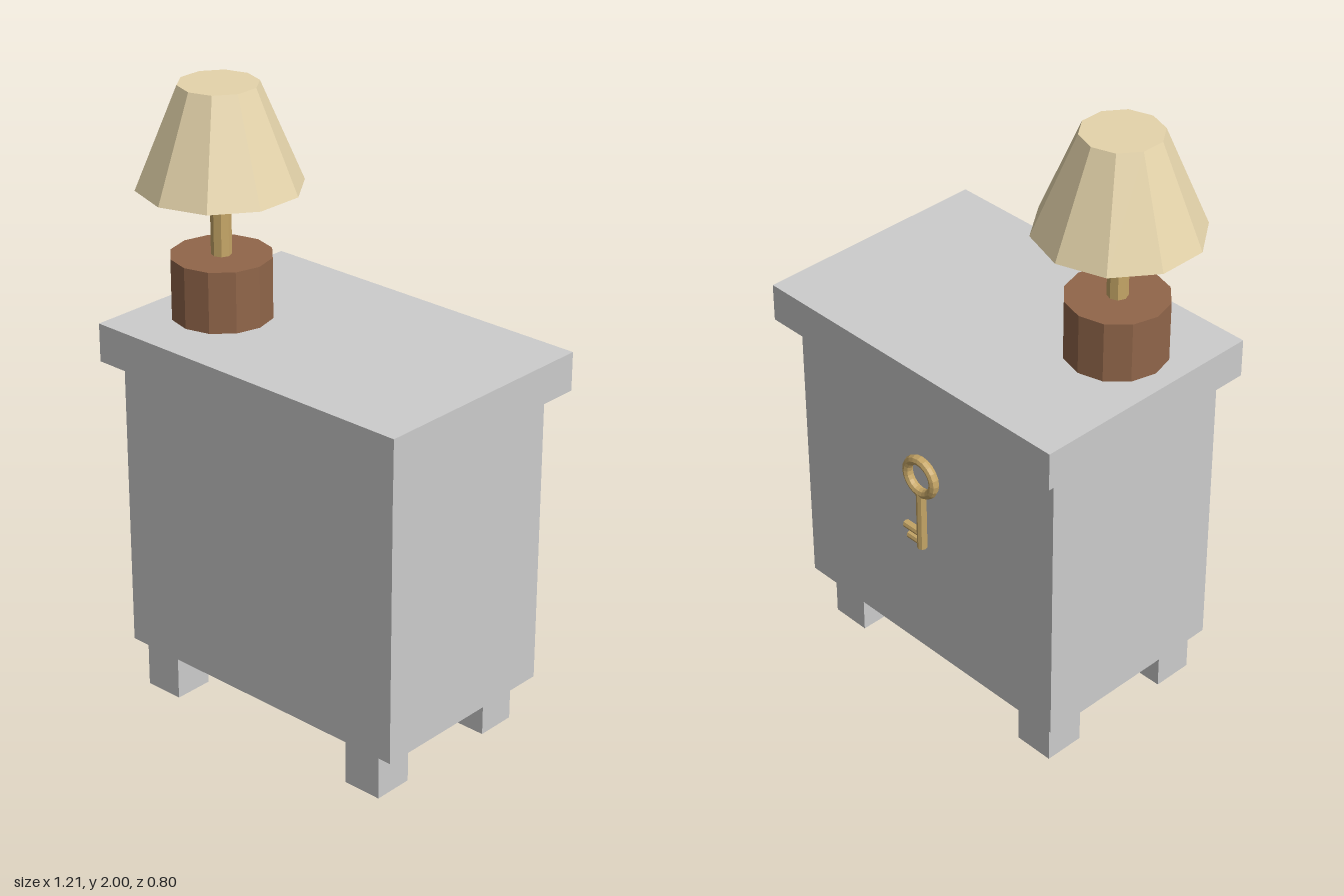
import * as THREE from 'three';

const flat = (name, color) => {
  const m = new THREE.MeshStandardMaterial({ color, flatShading: true });
  m.name = name;
  return m;
};

export function createModel() {
  const grey = flat('grey', 0xcccccc);
  const wood = flat('brown wood', 0x91664a);
  const cream = flat('cream shade', 0xe5d4ab);
  const brass = flat('brass', 0xc8a868);

  const model = new THREE.Group();
  model.name = 'nightstand';

  const add = (parent, name, geometry, material, x = 0, y = 0, z = 0) => {
    const mesh = new THREE.Mesh(geometry, material);
    mesh.name = name;
    mesh.position.set(x, y, z);
    parent.add(mesh);
    return mesh;
  };
  const cylinder = (parent, name, rTop, rBottom, y0, y1, sides, material) =>
    add(parent, name, new THREE.CylinderGeometry(rTop, rBottom, y1 - y0, sides), material, 0, (y0 + y1) / 2, 0);

  // Cabinet
  add(model, 'cabinetBody', new THREE.BoxGeometry(1.09, 0.98, 0.68), grey, 0.005, 0.65, 0);
  add(model, 'tableTop', new THREE.BoxGeometry(1.185, 0.125, 0.8), grey, 0.011, 1.2025, 0);

  // Four feet, set just below the body
  for (const x of [-0.432, 0.42])
    for (const z of [-0.237, 0.251])
      add(model, 'foot', new THREE.BoxGeometry(0.134, 0.142, 0.134), grey, x, 0.071, z);

  // Lamp
  const lamp = new THREE.Group();
  lamp.name = 'lamp';
  lamp.position.set(-0.36, 0, 0.093);
  model.add(lamp);
  cylinder(lamp, 'lampBase', 0.159, 0.159, 1.265, 1.462, 12, wood);
  cylinder(lamp, 'lampPole', 0.032, 0.032, 1.462, 1.7, 8, brass);
  cylinder(lamp, 'lampShade', 0.124, 0.257, 1.682, 2, 10, cream);

  // Key hanging on the back
  const key = new THREE.Group();
  key.name = 'key';
  key.position.set(0, 0, -0.359);
  model.add(key);
  add(key, 'keyRing', new THREE.TorusGeometry(0.058, 0.016, 8, 20), brass, 0, 0.846, 0);
  cylinder(key, 'keyShaft', 0.016, 0.016, 0.578, 0.79, 8, brass);
  for (const [y, length] of [[0.63, 0.072], [0.598, 0.056]])
    add(key, 'keyTooth', new THREE.CylinderGeometry(0.013, 0.013, length, 8), brass, length / 2, y, 0)
      .rotation.z = Math.PI / 2;

  return model;
}
